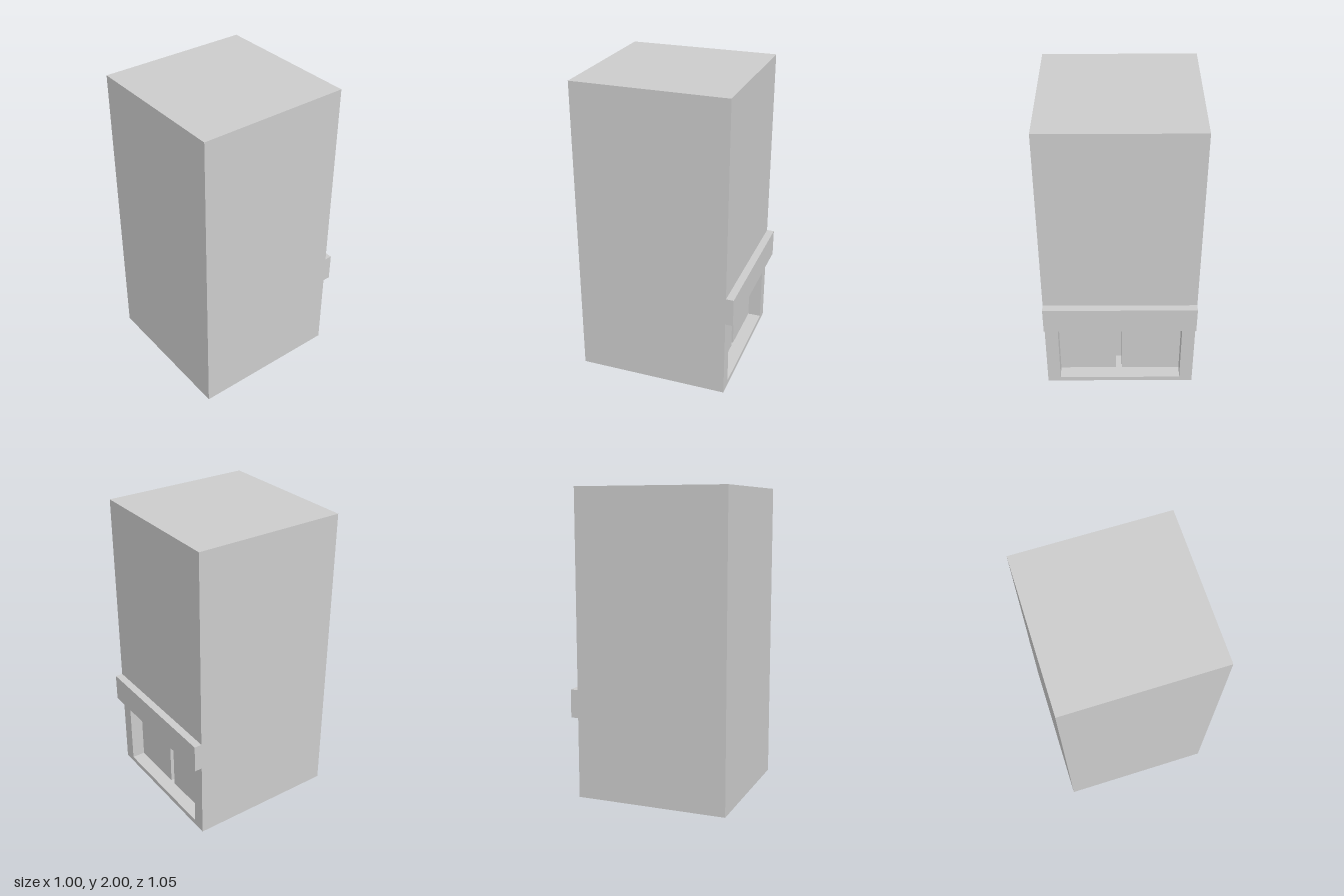
import * as THREE from 'three';

const material = new THREE.MeshStandardMaterial({ color: 0xcccccc, flatShading: true });

// Box given by its lower and upper corners
function addBox(group, name, [x0, y0, z0], [x1, y1, z1]) {
  const mesh = new THREE.Mesh(new THREE.BoxGeometry(x1 - x0, y1 - y0, z1 - z0), material);
  mesh.position.set((x0 + x1) / 2, (y0 + y1) / 2, (z0 + z1) / 2);
  mesh.name = name;
  group.add(mesh);
}

function rectangle(Type, x0, y0, x1, y1) {
  return new Type([[x0, y0], [x1, y0], [x1, y1], [x0, y1]].map(([x, y]) => new THREE.Vector2(x, y)));
}

export function createModel() {
  const group = new THREE.Group();
  group.name = 'shopBuilding';

  const back = -0.475, inner = -0.275, front = 0.525;
  const side = 0.413, sill = 0.035, ceiling = 0.62;

  // Main block of the building
  addBox(group, 'buildingBlock', [-0.5, 0, inner], [0.5, 2, front]);

  // Rear wall with the shop window opening
  const wall = rectangle(THREE.Shape, -0.5, 0, 0.5, 2);
  wall.holes.push(rectangle(THREE.Path, -side, sill, side, ceiling));
  const shopWall = new THREE.Mesh(
    new THREE.ExtrudeGeometry(wall, { depth: inner - back, bevelEnabled: false }), material);
  shopWall.position.z = back;
  shopWall.name = 'shopWall';
  group.add(shopWall);

  // Two window panels set back in the opening, with a narrow gap between
  const paneFront = back + 0.09, paneTop = 0.57;
  addBox(group, 'leftWindowPanel', [0.028, sill, paneFront], [side, paneTop, inner]);
  addBox(group, 'rightWindowPanel', [-side, sill, paneFront], [-0.013, paneTop, inner]);

  // Sign board across the full width above the window
  addBox(group, 'signBoard', [-0.5, 0.53, -0.525], [0.5, 0.715, back]);

  return group;
}
